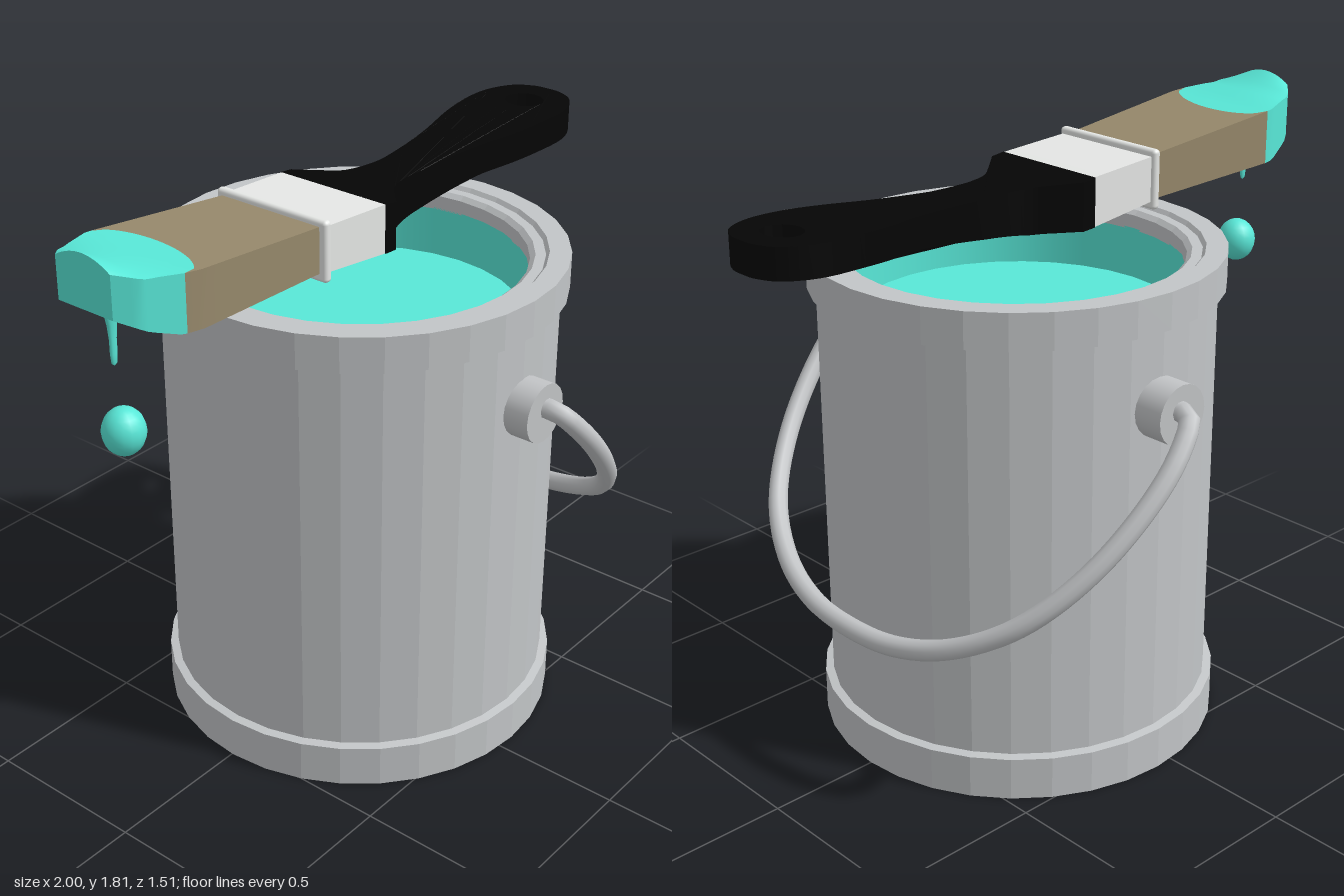
import * as THREE from 'three';
import { RoundedBoxGeometry } from 'three/addons/geometries/RoundedBoxGeometry.js';

const mat = (name, color, extra = {}) => {
  const m = new THREE.MeshStandardMaterial({ color, ...extra });
  m.name = name;
  return m;
};

// Piecewise-linear lookup in a short list of [x, value] pairs, ascending in x
function along(table, x) {
  if (x <= table[0][0]) return table[0][1];
  for (let i = 1; i < table.length; i++) {
    const [x0, v0] = table[i - 1], [x1, v1] = table[i];
    if (x <= x1) return v0 + (v1 - v0) * (x - x0) / (x1 - x0);
  }
  return table[table.length - 1][1];
}

// Brush outlines as functions of x
const TOP = [[-1, 1.812], [-0.93, 1.778], [-0.8, 1.75], [-0.31, 1.7], [-0.06, 1.685], [0.1, 1.665], [0.25, 1.66], [0.5, 1.672], [0.75, 1.685], [1, 1.69]];
const BOTTOM = [[-1, 1.66], [-0.93, 1.62], [-0.85, 1.592], [-0.8, 1.588], [-0.31, 1.567], [-0.06, 1.54], [0.1, 1.53], [0.25, 1.545], [0.5, 1.58], [0.75, 1.595], [1, 1.6]];
const WIDTH = [[-1, 0.095], [-0.95, 0.14], [-0.81, 0.19], [-0.31, 0.172]];
const DOME = [[-1, 0.03], [-0.9, 0.012], [-0.8, 0]];

// Brush section between two x limits; each limit may vary across the width (v = -1..1)
function section(from, to, width) {
  const g = new THREE.BoxGeometry(1, 1, 1, 10, 1, 24);
  const p = g.attributes.position;
  for (let i = 0; i < p.count; i++) {
    const v = p.getZ(i) * 2;
    const x = THREE.MathUtils.lerp(from(v), to(v), p.getX(i) + 0.5);
    const y = p.getY(i) > 0 ? along(TOP, x) - along(DOME, x) * v * v : along(BOTTOM, x);
    p.setXYZ(i, x, y, v * width(x));
  }
  g.computeVertexNormals();
  return g;
}

export function createModel() {
  const metal = mat('can metal', 0xc2c5c7, { flatShading: true });
  const wire = mat('wire metal', 0xc2c4c6);
  const paint = mat('teal paint', 0x58e7d7);
  const underside = mat('underside teal', 0x8cd8cb);
  const bristle = mat('bristle brown', 0x96886b);
  const ferruleMat = mat('ferrule silver', 0xe8eae8);
  const black = mat('handle black', 0x050505);

  const model = new THREE.Group();
  const add = (parent, name, geometry, material) => {
    const mesh = new THREE.Mesh(geometry, material);
    mesh.name = name;
    parent.add(mesh);
    return mesh;
  };
  const lathe = (pts, n = 32) => new THREE.LatheGeometry(pts.map(([r, y]) => new THREE.Vector2(r, y)), n);

  // Can
  const can = new THREE.Group();
  can.name = 'can';
  can.position.set(0.057, 0, 0.006);
  model.add(can);
  add(can, 'canBody', lathe([[0.578, 0.1], [0.578, 1.4]]), metal);
  add(can, 'bottomBand', lathe([[0.49, 0.012], [0.5, 0], [0.603, 0], [0.603, 0.13], [0.575, 0.135]]), metal);
  add(can, 'topRim', lathe([[0.575, 1.37], [0.603, 1.373], [0.603, 1.48], [0.54, 1.48],
    [0.53, 1.468], [0.5, 1.468], [0.485, 1.455], [0.485, 1.41]]), metal);
  add(can, 'paintedInnerWall', lathe([[0.485, 1.415], [0.485, 1.26]]), paint);
  const surface = add(can, 'paintSurface', new THREE.CircleGeometry(0.487, 32), paint);
  surface.rotation.x = -Math.PI / 2;
  surface.position.y = 1.26;
  const base = add(can, 'canBase', new THREE.CircleGeometry(0.492, 32), underside);
  base.rotation.x = Math.PI / 2;
  base.position.y = 0.012;

  // Ears that hold the wire handle
  for (const s of [1, -1]) {
    const ear = add(model, s > 0 ? 'frontEar' : 'backEar', new THREE.CylinderGeometry(0.088, 0.088, 0.1, 20), wire);
    ear.rotation.x = Math.PI / 2;
    ear.position.set(0.067, 1.147, s * 0.605);
  }

  // Wire handle: half path as [z, y], lying in a tilted plane, mirrored in z
  const half = [[0.63, 1.16], [0.69, 1.155], [0.723, 1.08], [0.72, 0.96], [0.66, 0.79], [0.54, 0.64], [0.37, 0.54], [0.19, 0.49]];
  const onPlane = ([z, y]) => new THREE.Vector3(0.075 + (1.16 - y) * 0.935, y, z);
  const path = [...half, [0, 0.477], ...half.map(([z, y]) => [-z, y]).reverse()].map(onPlane);
  add(model, 'wireHandle', new THREE.TubeGeometry(new THREE.CatmullRomCurve3(path), 80, 0.03, 10), wire);

  // Brush
  const brush = new THREE.Group();
  brush.name = 'brush';
  model.add(brush);
  const edge = v => -0.815 - 0.02 * v + 0.095 * Math.sqrt(Math.max(0, 1 - v * v));
  const bristleWidth = x => along(WIDTH, x);
  add(brush, 'bristles', section(edge, () => -0.3, bristleWidth), bristle);
  add(brush, 'paintedTip', section(() => -1, edge, bristleWidth), paint);
  add(brush, 'ferrule', section(() => -0.31, () => -0.055, x => 0.182 + (x + 0.31) * 0.02), ferruleMat);
  const bead = add(brush, 'ferruleBead', new RoundedBoxGeometry(0.028, 0.178, 0.39, 3, 0.012), ferruleMat);
  bead.position.set(-0.308, 1.63, 0);

  // Brush handle: outline with a hanging hole, extruded and bent to the side profile
  const side = [[-0.015, 0.19], [0.03, 0.15], [0.1, 0.095], [0.2, 0.073], [0.35, 0.08], [0.5, 0.103], [0.65, 0.138],
    [0.78, 0.154], [0.88, 0.147], [0.96, 0.108], [0.995, 0.05]];
  const grip = new THREE.Shape();
  grip.moveTo(-0.06, -0.19);
  grip.lineTo(-0.015, -0.19);
  const rest = [...side.slice(1).map(([x, z]) => [x, -z]), [1, 0], ...side.slice().reverse()];
  grip.splineThru(rest.map(([x, z]) => new THREE.Vector2(x, z)));
  grip.lineTo(-0.06, 0.19);
  grip.closePath();
  const hole = new THREE.Path();
  hole.absellipse(0.873, 0, 0.056, 0.062, 0, Math.PI * 2, true);
  grip.holes.push(hole);
  const handle = new THREE.ExtrudeGeometry(grip, { depth: 1, bevelEnabled: false, curveSegments: 7 });
  handle.rotateX(-Math.PI / 2);
  const p = handle.attributes.position;
  for (let i = 0; i < p.count; i++) {
    p.setY(i, along(p.getY(i) > 0.5 ? TOP : BOTTOM, p.getX(i)));
  }
  handle.computeVertexNormals();
  add(brush, 'brushHandle', handle, black);

  // Paint running off the tip
  const drip = add(model, 'drip', lathe([[0, 1.475], [0.009, 1.483], [0.012, 1.51], [0.012, 1.55], [0.016, 1.59], [0.026, 1.64]], 10), paint);
  drip.position.x = -0.917;
  drip.scale.z = 0.6;
  const drop = add(model, 'fallingDrop', new THREE.SphereGeometry(0.06, 16, 12), paint);
  drop.scale.y = 1.13;
  drop.position.set(-0.9, 1.28, 0);

  return model;
}
